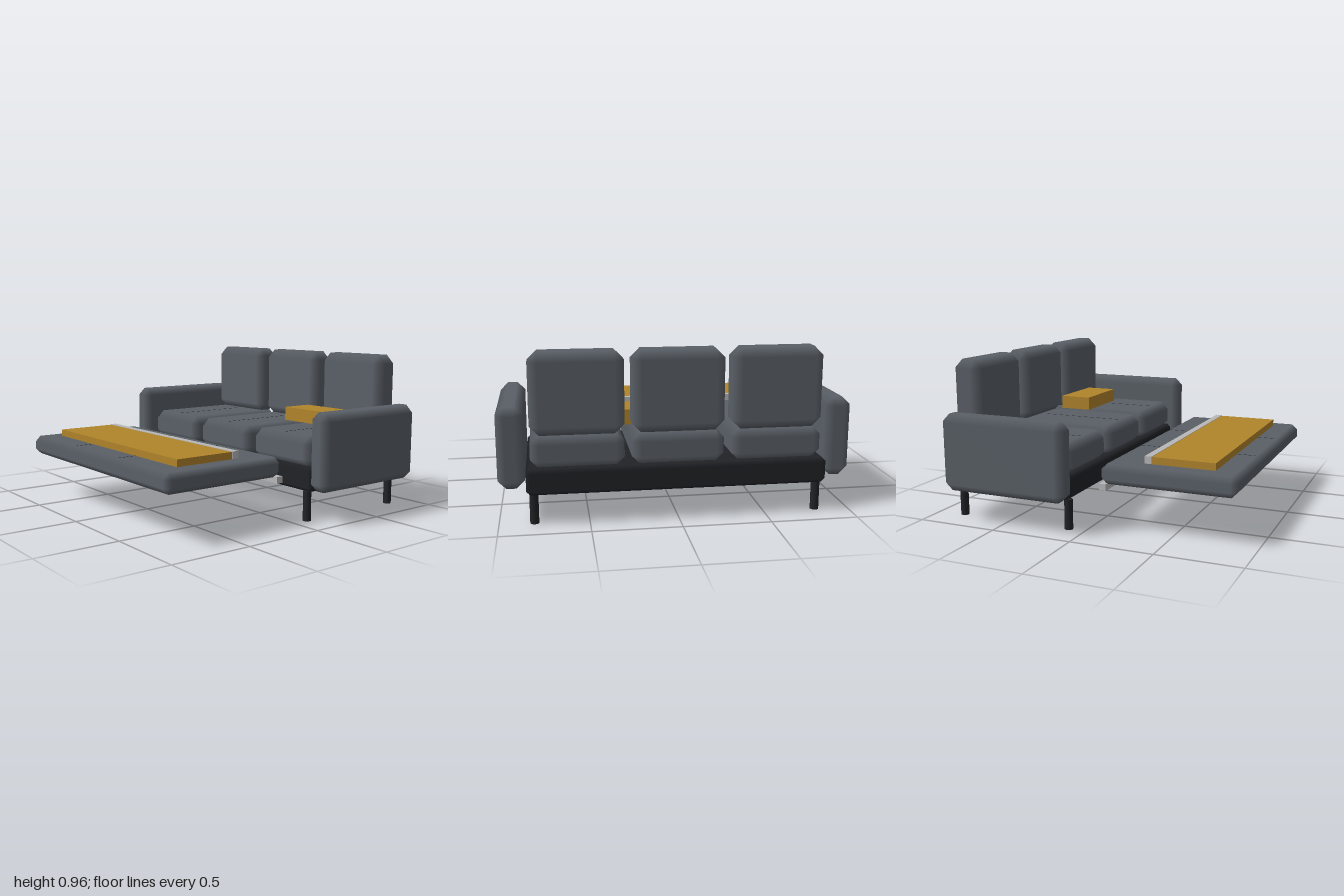
import * as THREE from 'three';
import { ConvexGeometry } from 'three/addons/geometries/ConvexGeometry.js';

const paint = (color) => new THREE.MeshStandardMaterial({ color });
const fabric = paint(0x5a6067);
const seamDark = paint(0x2c2f33);
const frameBlack = paint(0x202226);
const wood = paint(0xb0842a);
const metal = paint(0xb8b8b8);

// Box with bevelled edges; normals follow the flat faces so the bevels shade round.
function bevelBox(w, h, d, c) {
  const half = [w / 2, h / 2, d / 2];
  const points = [];
  for (const sx of [-1, 1]) for (const sy of [-1, 1]) for (const sz of [-1, 1]) {
    const s = [sx, sy, sz];
    for (let axis = 0; axis < 3; axis++) {
      points.push(new THREE.Vector3(...half.map((v, i) => s[i] * (i === axis ? v : v - c))));
    }
  }
  const geo = new ConvexGeometry(points);
  const pos = geo.attributes.position, nor = geo.attributes.normal;
  for (let i = 0; i < pos.count; i++) {
    const p = [pos.getX(i), pos.getY(i), pos.getZ(i)];
    nor.setXYZ(i, ...p.map((v, a) => (half[a] - Math.abs(v) < 1e-5 ? Math.sign(v) : 0)));
  }
  return geo;
}

export function createModel() {
  const sofa = new THREE.Group();
  sofa.name = 'sofaBed';

  // Adds a box given its [min, max] ranges; bevel 0 gives a plain box.
  function block(name, material, [x0, x1], [y0, y1], [z0, z1], bevel = 0) {
    const size = [x1 - x0, y1 - y0, z1 - z0];
    const geo = bevel ? bevelBox(...size, bevel) : new THREE.BoxGeometry(...size);
    const mesh = new THREE.Mesh(geo, material);
    mesh.position.set((x0 + x1) / 2, (y0 + y1) / 2, (z0 + z1) / 2);
    mesh.name = name;
    sofa.add(mesh);
  }

  // Base frame
  block('baseFrame', frameBlack, [-0.845, 0.845], [0.175, 0.322], [-0.89, -0.09], 0.022);

  // Armrests and legs
  const legGeo = new THREE.CylinderGeometry(0.025, 0.025, 0.18, 12);
  for (const side of [-1, 1]) {
    const arm = side < 0 ? [-1, -0.85] : [0.85, 1];
    block(side < 0 ? 'rightArmrest' : 'leftArmrest', fabric, arm, [0.195, 0.657], [-0.847, -0.045], 0.047);
    for (const z of [-0.105, -0.825]) {
      const leg = new THREE.Mesh(legGeo, frameBlack);
      leg.name = z > -0.5 ? 'frontLeg' : 'backLeg';
      leg.position.set(side * 0.805, 0.09, z);
      sofa.add(leg);
    }
  }

  // Three seat cushions with a centre seam, each with a back cushion
  for (const x of [-0.56, 0, 0.56]) {
    const span = [x - 0.26, x + 0.26];
    block('seatCushion', fabric, span, [0.31, 0.5], [-0.87, -0.093], 0.05);
    block('seatSeam', seamDark, [x - 0.002, x + 0.002], [0.495, 0.501], [-0.7, -0.143]);
    block('backCushion', fabric, span, [0.495, 0.957], [-0.876, -0.69], 0.053);
  }

  // Pull-out bed panel with seams
  block('bedPanel', fabric, [-0.8, 0.8], [0.285, 0.403], [0.088, 0.89], 0.035);
  for (const x of [-0.255, 0.255]) {
    block('bedSeam', seamDark, [x - 0.002, x + 0.002], [0.398, 0.404], [0.123, 0.85]);
  }
  block('pullRail', metal, [-0.8, 0.8], [0.253, 0.292], [0.09, 0.13]);

  // Board lying on the bed panel with its edge strip
  block('board', wood, [-0.678, 0.675], [0.403, 0.445], [0.362, 0.738]);
  block('boardEdgeStrip', metal, [-0.685, 0.682], [0.405, 0.448], [0.32, 0.362]);

  // Loose block on the seat
  block('seatBlock', wood, [0.208, 0.632], [0.508, 0.595], [-0.682, -0.472]);

  return sofa;
}
